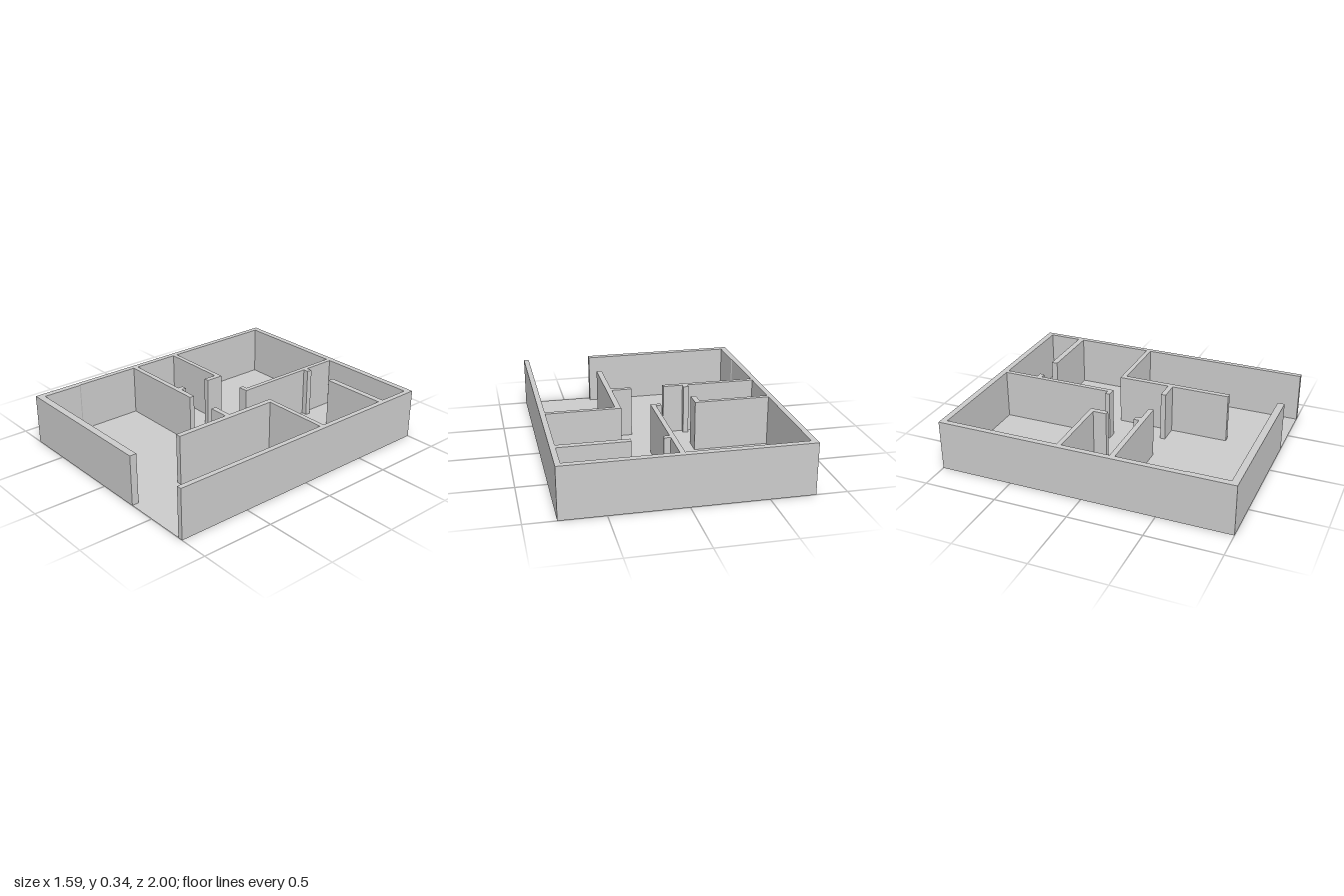
import * as THREE from 'three';

const WALL_HEIGHT = 0.345;
const X = 0.795; // outer half width
const Z = 1; // outer half length
const L = -0.757, R = 0.76, B = -0.958; // inner faces of the outer walls

// Floor plan outlines, as [x, z] corners seen from above
const plans = {
  // U-shaped shell with the entrance gap at the front right
  outerWalls: [
    [0.303, Z], [-X, Z], [-X, -Z], [X, -Z], [X, Z], [R, Z],
    [R, B], [L, B], [L, 0.67], [-0.752, 0.68], [-0.752, 0.953], [0.303, 0.953],
  ],
  // Long wall between the two back rooms, with door stubs
  backDividingWall: [
    [0.026, B], [0.058, B], [0.058, -0.727], [0.101, -0.727], [0.096, -0.693],
    [0.058, -0.693], [0.058, -0.14], [-0.011, -0.14], [-0.011, -0.172], [0.026, -0.172],
  ],
  backRightWall: [[0.302, -0.735], [R, -0.735], [R, -0.693], [0.302, -0.693]],
  // Two walls of the small left room, each with a door stub
  smallRoomBackWall: [
    [L, -0.172], [-0.243, -0.172], [-0.243, -0.048], [-0.28, -0.048], [-0.28, -0.14], [L, -0.14],
  ],
  smallRoomFrontWall: [
    [L, 0.185], [-0.28, 0.185], [-0.28, 0.148], [-0.243, 0.148], [-0.243, 0.185],
    [-0.106, 0.185], [-0.106, 0.22], [L, 0.22],
  ],
  // Corner wall of the right room, with the short hallway spur
  rightRoomWall: [
    [R, -0.172], [0.26, -0.172], [0.26, 0.185], [0.122, 0.185], [0.122, 0.22],
    [0.26, 0.22], [0.26, 0.62], [0.297, 0.62], [0.297, -0.14], [R, -0.14],
  ],
};

// Raise a plan outline into a wall standing on y = 0
function wallGeometry(plan) {
  const shape = new THREE.Shape(plan.map(([x, z]) => new THREE.Vector2(x, -z)));
  return new THREE.ExtrudeGeometry(shape, { depth: WALL_HEIGHT, bevelEnabled: false })
    .rotateX(-Math.PI / 2);
}

export function createModel() {
  const model = new THREE.Group();
  model.name = 'floorPlan';
  const wallMaterial = new THREE.MeshStandardMaterial({ color: 0xcccccc });

  for (const [name, plan] of Object.entries(plans)) {
    const wall = new THREE.Mesh(wallGeometry(plan), wallMaterial);
    wall.name = name;
    model.add(wall);
  }

  // Thin floor sheet, just above the wall bottoms
  const floor = new THREE.Mesh(
    new THREE.PlaneGeometry(2 * X, 2 * Z).rotateX(-Math.PI / 2),
    new THREE.MeshStandardMaterial({ color: 0xcccccc, side: THREE.DoubleSide }),
  );
  floor.name = 'floor';
  floor.position.y = 0.002;
  model.add(floor);

  return model;
}
